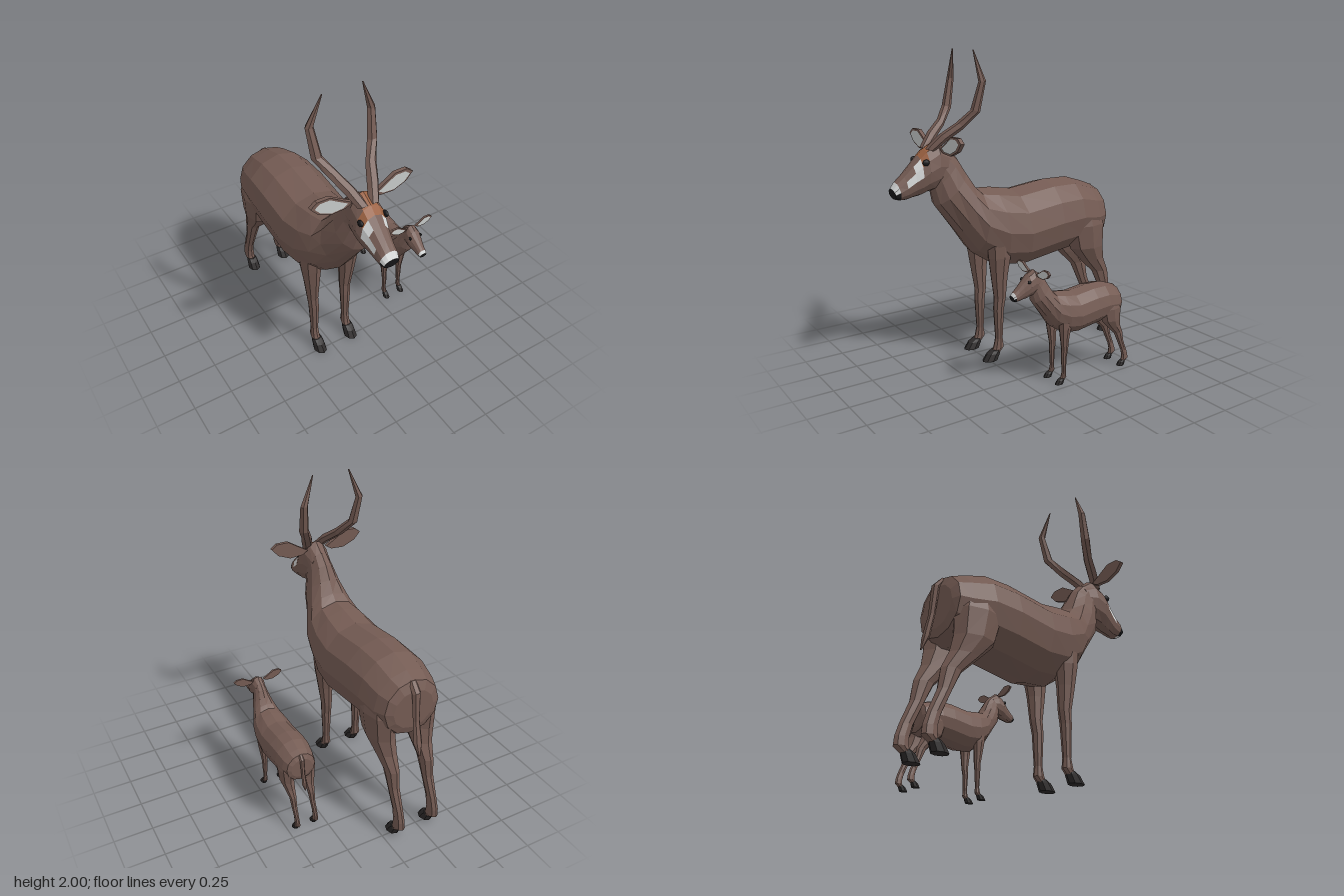
import * as THREE from 'three';

const material = (name, color) => {
  const m = new THREE.MeshStandardMaterial({ color });
  m.name = name;
  return m;
};
const fur = material('brown fur', 0x745b53);
const tan = material('orange forehead', 0x9a6040);
const white = material('white markings', 0xd2d4d4);
const earGrey = material('pale inner ear', 0xc6cac9);
const hoofDark = material('dark hoof', 0x2d2a2a);
const black = material('black nose and eye', 0x19191b);

// Lofts oval rings. A section is [topZ, topY, bottomZ, bottomY, halfWidth, centreX].
// paint(i, j) picks the material of segment i, sector j; i = -1 and i = last are the caps.
function loft(name, sections, sides, paint = () => fur) {
  const rings = sections.map(([tz, ty, bz, by, w, x = 0]) =>
    Array.from({ length: sides }, (_, j) => {
      const a = (j / sides) * Math.PI * 2;
      const t = (1 + Math.sin(a)) / 2;
      return [x + w * Math.cos(a), by + (ty - by) * t, bz + (tz - bz) * t];
    }));
  const centres = sections.map(([tz, ty, bz, by, , x = 0]) => [x, (ty + by) / 2, (tz + bz) / 2]);
  const buckets = new Map();
  const add = (mat, ...points) => {
    if (!buckets.has(mat)) buckets.set(mat, []);
    buckets.get(mat).push(...points.flat());
  };
  const last = rings.length - 1;
  for (let j = 0; j < sides; j++) {
    const k = (j + 1) % sides;
    add(paint(-1, j), centres[0], rings[0][k], rings[0][j]);
    for (let i = 0; i < last; i++) {
      const [a, b, c, d] = [rings[i][j], rings[i][k], rings[i + 1][k], rings[i + 1][j]];
      add(paint(i, j), a, b, c, a, c, d);
    }
    add(paint(last, j), centres[last], rings[last][j], rings[last][k]);
  }
  const geometry = new THREE.BufferGeometry();
  const positions = [];
  const mats = [...buckets.keys()];
  mats.forEach((m, n) => {
    geometry.addGroup(positions.length / 3, buckets.get(m).length / 3, n);
    positions.push(...buckets.get(m));
  });
  geometry.setAttribute('position', new THREE.Float32BufferAttribute(positions, 3));
  geometry.computeVertexNormals();
  const mesh = new THREE.Mesh(geometry, mats.length > 1 ? mats : mats[0]);
  mesh.name = name;
  return mesh;
}

// Horizontal slices for legs, top to bottom: [y, frontZ, backZ, halfWidth, x]
const slices = (rows, side) => rows.map(([y, f, b, w, x]) => [f, y, b, y, w, x * side]);

function ear(side) {
  const outline = [[0.07, 1.42], [0.13, 1.455], [0.21, 1.505], [0.29, 1.505], [0.33, 1.475],
    [0.285, 1.425], [0.2, 1.39], [0.11, 1.395]];
  const shape = (scale) => new THREE.Shape(outline.map(([x, y]) => new THREE.Vector2(
    side * (0.215 + (x - 0.215) * scale), 1.45 + (y - 1.45) * scale)));
  const group = new THREE.Group();
  group.name = side > 0 ? 'leftEar' : 'rightEar';
  const shell = new THREE.Mesh(
    new THREE.ExtrudeGeometry(shape(1), { depth: 0.025, bevelEnabled: false }), fur);
  shell.name = 'earShell';
  shell.position.z = 0.52;
  const inner = new THREE.Mesh(new THREE.ShapeGeometry(shape(0.8)), earGrey);
  inner.name = 'innerEar';
  inner.position.z = 0.549;
  group.add(shell, inner);
  return group;
}

function antelope(name, adult) {
  const animal = new THREE.Group();
  animal.name = name;

  // Trunk running from the rump into the upright neck
  animal.add(loft('bodyAndNeck', [
    [-0.69, 1.0, -0.69, 0.74, 0.14],
    [-0.665, 1.06, -0.675, 0.69, 0.19],
    [-0.59, 1.09, -0.6, 0.65, 0.22],
    [-0.45, 1.135, -0.45, 0.645, 0.243],
    [-0.27, 1.138, -0.27, 0.62, 0.25],
    [0, 1.105, -0.04, 0.585, 0.25],
    [0.16, 1.132, 0.12, 0.6, 0.236],
    [0.26, 1.138, 0.3, 0.72, 0.205],
    [0.3, 1.18, 0.41, 0.87, 0.165],
    [0.345, 1.26, 0.555, 1.06, 0.12],
    [0.395, 1.345, 0.58, 1.165, 0.092],
    [0.46, 1.41, 0.58, 1.2, 0.08],
  ], 12));

  // Head with painted forehead, cheek streaks and muzzle
  const paintHead = (i, j) => {
    const s = j < 6 ? Math.min(j, 5 - j) : -1;
    if (i === 7) return black;
    if (i === 6) return s >= 0 || j === 8 || j === 9 ? white : black;
    if (!adult) return fur;
    if ((i === 1 || i === 2) && s === 2) return tan;
    if (i === 2 && s === 1) return tan;
    if ((i === 3 && s === 1) || (i === 4 && s === 0) || (i === 3 && s === 0)) return white;
    return fur;
  };
  animal.add(loft('head', [
    [0.46, 1.4, 0.47, 1.2, 0.075],
    [0.54, 1.465, 0.56, 1.16, 0.095],
    [0.62, 1.42, 0.62, 1.15, 0.1],
    [0.66, 1.38, 0.66, 1.135, 0.09],
    [0.705, 1.335, 0.7, 1.13, 0.076],
    [0.765, 1.275, 0.745, 1.12, 0.065],
    [0.812, 1.232, 0.79, 1.12, 0.061],
    [0.838, 1.195, 0.822, 1.13, 0.05],
  ], 12, paintHead));

  // Tail
  animal.add(loft('tail', [
    [-0.64, 1.05, -0.67, 1.06, 0.025],
    [-0.685, 0.98, -0.725, 1.0, 0.03],
    [-0.705, 0.81, -0.74, 0.81, 0.024],
    [-0.735, 0.67, -0.775, 0.66, 0.03],
    [-0.778, 0.585, -0.785, 0.585, 0.008],
  ], 6));

  for (const side of [1, -1]) {
    const label = side > 0 ? 'left' : 'right';

    // Front leg and hoof
    animal.add(loft(label + 'FrontLeg', slices([
      [0.88, 0.27, 0.06, 0.07, 0.14],
      [0.7, 0.25, 0.09, 0.065, 0.135],
      [0.57, 0.23, 0.11, 0.05, 0.13],
      [0.42, 0.205, 0.12, 0.037, 0.123],
      [0.34, 0.207, 0.135, 0.035, 0.12],
      [0.14, 0.195, 0.145, 0.026, 0.12],
      [0.08, 0.21, 0.135, 0.03, 0.12],
      [0.045, 0.225, 0.17, 0.03, 0.12],
    ], side), 8));
    animal.add(loft(label + 'FrontHoof', slices([
      [0.065, 0.225, 0.165, 0.033, 0.12],
      [0.045, 0.262, 0.165, 0.038, 0.12],
      [0, 0.295, 0.185, 0.042, 0.12],
    ], side), 8, () => hoofDark));

    // Hind leg with thigh and hock, then hoof
    animal.add(loft(label + 'HindLeg', slices([
      [0.98, -0.42, -0.6, 0.05, 0.15],
      [0.82, -0.35, -0.675, 0.095, 0.145],
      [0.66, -0.4, -0.672, 0.088, 0.14],
      [0.56, -0.5, -0.69, 0.066, 0.13],
      [0.46, -0.605, -0.737, 0.045, 0.125],
      [0.34, -0.665, -0.753, 0.036, 0.125],
      [0.2, -0.727, -0.812, 0.029, 0.125],
      [0.13, -0.745, -0.835, 0.031, 0.125],
      [0.08, -0.742, -0.84, 0.033, 0.125],
      [0.045, -0.73, -0.785, 0.03, 0.125],
    ], side), 8));
    animal.add(loft(label + 'HindHoof', slices([
      [0.065, -0.73, -0.79, 0.033, 0.125],
      [0.045, -0.7, -0.79, 0.038, 0.125],
      [0, -0.67, -0.775, 0.042, 0.125],
    ], side), 8, () => hoofDark));

    // Ear and eye
    animal.add(ear(side));
    const eye = new THREE.Mesh(new THREE.SphereGeometry(1, 8, 6), black);
    eye.name = label + 'Eye';
    eye.scale.set(0.014, 0.02, 0.024);
    eye.position.set(side * 0.082, 1.345, 0.643);
    animal.add(eye);

    // Curved horn
    if (adult) {
      animal.add(loft(label + 'Horn', [
        [0.57, 1.4, 0.62, 1.42, 0.035, 0.035],
        [0.5, 1.465, 0.545, 1.505, 0.038, 0.075],
        [0.42, 1.53, 0.45, 1.575, 0.036, 0.12],
        [0.33, 1.635, 0.385, 1.65, 0.034, 0.178],
        [0.295, 1.82, 0.338, 1.815, 0.026, 0.195],
        [0.332, 2.0, 0.338, 2.0, 0.004, 0.125],
      ].map((s) => [...s.slice(0, 5), s[5] * side]), 6));
    }
  }
  return animal;
}

export function createModel() {
  const model = new THREE.Group();
  model.name = 'antelopeWithCalf';
  const parent = antelope('adultAntelope', true);
  parent.position.x = -0.217;
  const calf = antelope('calf', false);
  calf.scale.setScalar(0.51);
  calf.position.set(0.38, 0, -0.045);
  model.add(parent, calf);
  return model;
}
